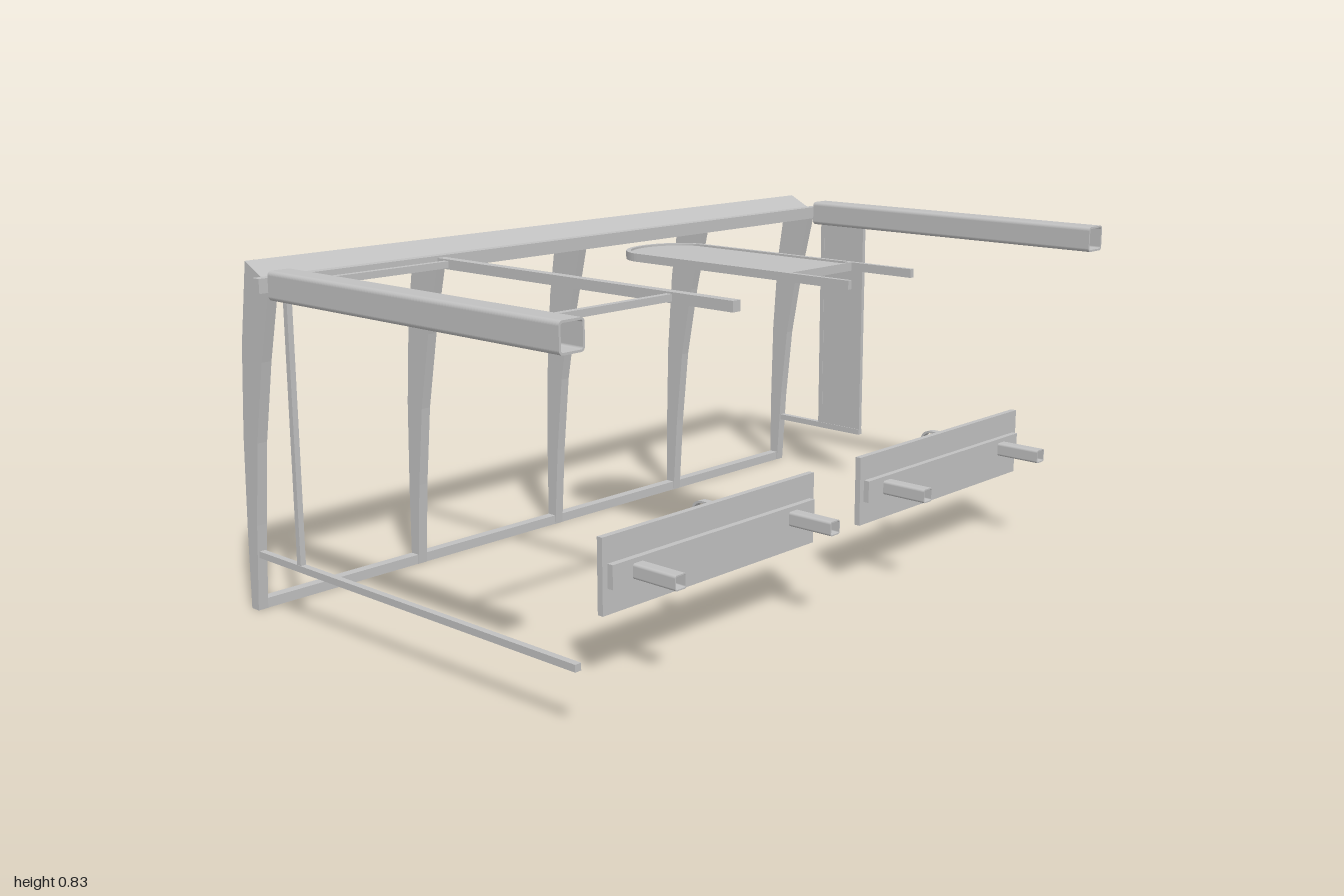
import * as THREE from 'three';

const steel = new THREE.MeshStandardMaterial({ color: 0xc0c0c0 });
steel.name = 'brushed grey';
steel.side = THREE.DoubleSide;

export function createModel() {
  const model = new THREE.Group();
  model.name = 'canopyFrame';

  const add = (name, geometry, parent = model) => {
    const mesh = new THREE.Mesh(geometry, steel);
    mesh.name = name;
    parent.add(mesh);
    return mesh;
  };

  // Box given by its limits on each axis
  const box = (name, [x0, x1], [y0, y1], [z0, z1], parent) => {
    const g = new THREE.BoxGeometry(x1 - x0, y1 - y0, z1 - z0);
    g.translate((x0 + x1) / 2, (y0 + y1) / 2, (z0 + z1) / 2);
    return add(name, g, parent);
  };

  // Rounded rectangle outline centred on the origin
  const roundRect = (w, h, r, Type = THREE.Shape) => {
    const s = new Type();
    const a = w / 2, b = h / 2;
    s.moveTo(-a + r, -b);
    s.lineTo(a - r, -b).absarc(a - r, -b + r, r, -Math.PI / 2, 0);
    s.lineTo(a, b - r).absarc(a - r, b - r, r, 0, Math.PI / 2);
    s.lineTo(-a + r, b).absarc(-a + r, b - r, r, Math.PI / 2, Math.PI);
    s.lineTo(-a, -b + r).absarc(-a + r, -b + r, r, Math.PI, Math.PI * 1.5);
    return s;
  };

  // Hollow profile: outer outline with a matching hole
  const ring = (w, h, r, wall) => {
    const s = roundRect(w, h, r);
    s.holes.push(roundRect(w - 2 * wall, h - 2 * wall, r - wall, THREE.Path));
    return s;
  };

  const extrude = (shape, depth, curveSegments = 8) =>
    new THREE.ExtrudeGeometry(shape, { depth, bevelEnabled: false, curveSegments });

  // Side profile of [z, y] points, extruded across x
  const sideProfile = (points, x0, x1) => {
    const g = extrude(new THREE.Shape(points.map(([z, y]) => new THREE.Vector2(-z, y))), x1 - x0);
    return g.rotateY(Math.PI / 2).translate(x0, 0, 0);
  };

  // Curved rear ribs
  const rib = [
    [-0.406, 0.785], [-0.45, 0.603], [-0.486, 0.41], [-0.507, 0.21], [-0.521, 0],
    [-0.548, 0], [-0.547, 0.19], [-0.541, 0.42], [-0.525, 0.635], [-0.494, 0.828],
  ];
  for (let i = -2; i <= 2; i++) {
    const x = i * 0.475;
    add('rearRib', sideProfile(rib, x - 0.013, x + 0.013));
  }

  // Rear rails and sloping top plate
  box('bottomRail', [-0.963, 0.963], [0, 0.024], [-0.548, -0.522]);
  box('topRail', [-1, 1], [0.77, 0.803], [-0.412, -0.387]);
  add('topPlate', sideProfile(
    [[-0.406, 0.785], [-0.494, 0.829], [-0.496, 0.825], [-0.408, 0.781]], -0.963, 0.963));

  // Hollow roof beams with short necks to the rail
  for (const side of [-1, 1]) {
    const x = side * 0.952;
    add('roofBeam', extrude(ring(0.066, 0.066, 0.01, 0.005), 0.925).translate(x, 0.787, -0.375));
    box('beamBackCap', [x - 0.03, x + 0.03], [0.757, 0.817], [-0.374, -0.37]);
    box('beamNeck', [x - 0.013, x + 0.013], [0.774, 0.8], [-0.388, -0.374]);
    // Post beneath each beam
    const p = side * 0.95;
    box('sidePost', [p - 0.007, p + 0.007], [0.14, 0.757], [-0.363, -0.349]);
    // Low side rail: long on the right, short on the left
    box('lowSideRail', [p - 0.008, p + 0.008], [0.13, 0.146], [-0.515, side < 0 ? 0.55 : -0.208]);
  }
  box('sidePanel', [0.944, 0.956], [0.146, 0.757], [-0.358, -0.208]);

  // Ladder bay on the right of the roof
  box('roofBar', [-0.502, -0.478], [0.774, 0.798], [-0.39, 0.55]);
  for (const z of [-0.355, 0.372]) {
    box('crossBar', [-0.922, -0.5], [0.778, 0.794], [z - 0.008, z + 0.008]);
  }

  // Round-ended hatch: outline in x and -z, laid flat
  const arch = (half, top, end, r, Type) => {
    const s = new Type();
    s.moveTo(-half, -end);
    s.lineTo(half, -end);
    s.lineTo(half, top - r);
    s.absellipse(0, top - r, half, r, 0, Math.PI, false);
    s.lineTo(-half, -end);
    return s;
  };
  const hatch = new THREE.Group();
  hatch.name = 'hatch';
  hatch.position.set(0.005, 0.776, 0);
  model.add(hatch);
  const rim = arch(0.123, 0.198, 0.38, 0.1, THREE.Shape);
  rim.holes.push(arch(0.111, 0.187, 0.374, 0.09, THREE.Path));
  add('hatchRim', extrude(rim, 0.02, 16).rotateX(-Math.PI / 2), hatch);
  add('hatchPanel', extrude(arch(0.112, 0.188, 0.376, 0.09, THREE.Shape), 0.008, 16)
    .rotateX(-Math.PI / 2).translate(0, 0.007, 0), hatch);
  for (const s of [-1, 1]) {
    box('hatchArm', [s * 0.117 - 0.006, s * 0.117 + 0.006], [0, 0.02], [0.37, 0.55], hatch);
  }

  // Front boards, each with a backing strip, two stub tubes and a rear loop
  for (const x of [-0.404, 0.468]) {
    const board = new THREE.Group();
    board.name = 'frontBoard';
    board.position.set(x, 0.24, 0);
    model.add(board);
    box('boardPlate', [-0.346, 0.346], [-0.085, 0.085], [0.4, 0.415], board);
    box('boardStrip', [-0.331, 0.331], [-0.028, 0.026], [0.415, 0.43], board);
    for (const s of [-1, 1]) {
      add('stubTube', extrude(ring(0.034, 0.034, 0.006, 0.003), 0.12)
        .translate(s * 0.255, -0.002, 0.43), board);
    }
    // D-shaped loop standing behind the plate
    const loop = new THREE.Shape();
    const outline = (shape, d, h, r) => {
      shape.moveTo(-0.402, -h);
      shape.lineTo(d - r, -h);
      shape.quadraticCurveTo(d, -h, d, -h + r);
      shape.lineTo(d, h - r);
      shape.quadraticCurveTo(d, h, d - r, h);
      shape.lineTo(-0.402, h);
      shape.closePath();
      return shape;
    };
    outline(loop, -0.353, 0.085, 0.032);
    loop.holes.push(outline(new THREE.Path(), -0.358, 0.08, 0.028));
    add('rearLoop', extrude(loop, 0.018).rotateY(Math.PI / 2).translate(-0.009, 0, 0), board);
  }

  return model;
}
